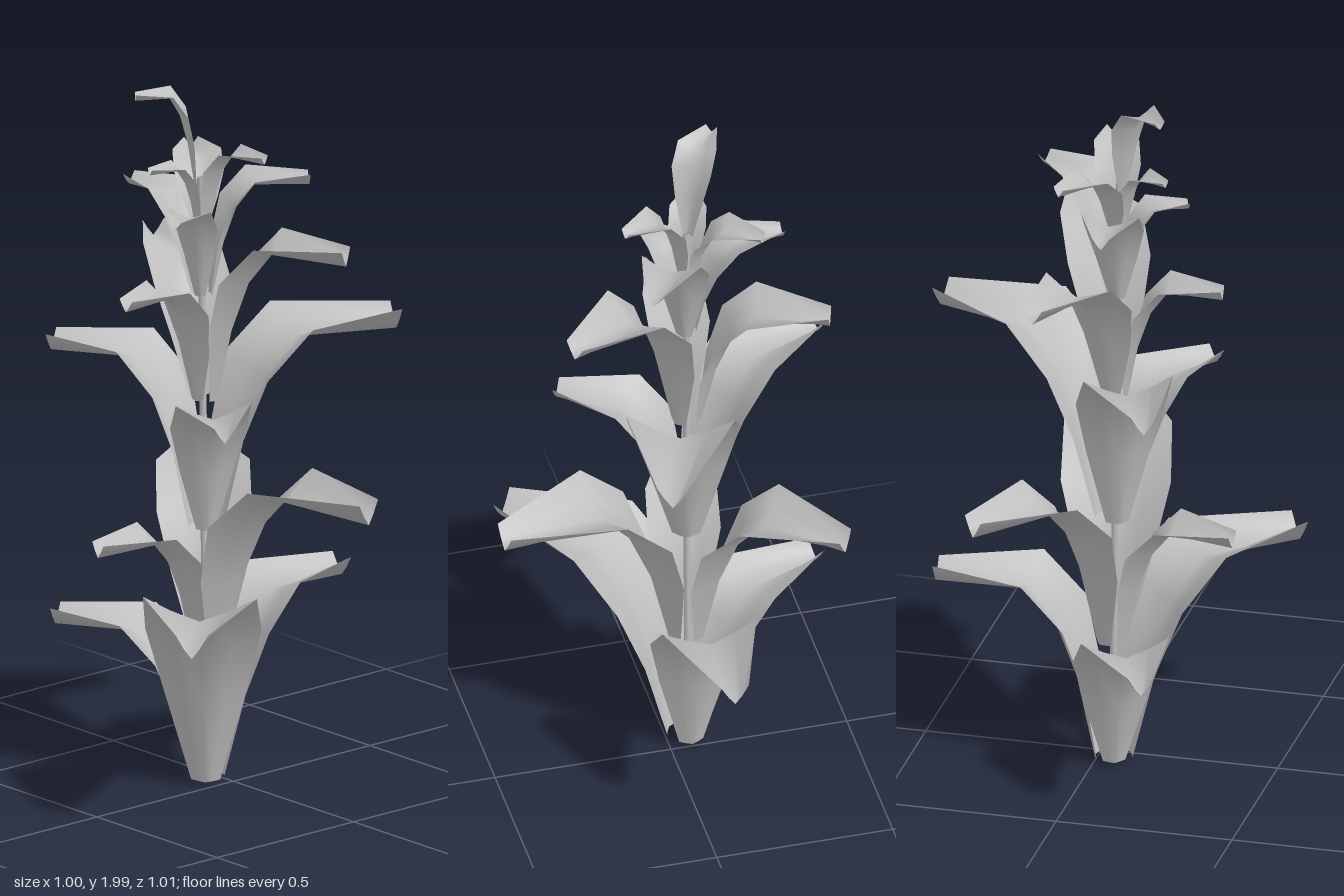
import * as THREE from 'three';

const leafGrey = new THREE.MeshStandardMaterial({ color: 0xbfbfbf, side: THREE.DoubleSide });
leafGrey.name = 'leaf grey';

// Stem axis at height y
const stemAt = (y) => new THREE.Vector3(-0.06, y, 0.045 + 0.0125 * y);

// Leaf stations along the midrib: outward reach, height, half width, fold depth
const stations = [
  [0.1, 0.0, 0.06, 0.03],
  [0.2, 0.42, 0.17, 0.09],
  [0.32, 0.71, 0.24, 0.12],
  [0.48, 0.89, 0.235, 0.11],
  [1.0, 0.87, 0.067, 0.115],
];
const across = [-1, -0.5, 0, 0.5, 1];

// One gutter-shaped leaf: rises along the stem, then bends outward
function makeLeaf(tipX, tipZ, baseY, topY) {
  const origin = stemAt(baseY);
  const out = new THREE.Vector3(tipX - origin.x, 0, tipZ - origin.z);
  const reach = out.length();
  out.normalize();
  const side = new THREE.Vector3(out.z, 0, -out.x);
  const height = topY - baseY;
  const breadth = 1.02 * reach + 0.06; // short leaves are relatively broader
  const rib = stations.map(([r, h]) => new THREE.Vector2(r * reach, h * height));
  const positions = [], index = [];
  stations.forEach(([, , w, d], i) => {
    const a = rib[Math.max(i - 1, 0)], b = rib[Math.min(i + 1, rib.length - 1)];
    const tangent = (i === rib.length - 1 ? new THREE.Vector2(1, 0) : b.clone().sub(a)).normalize();
    for (const u of across) {
      // margins lift toward the stem side of the midrib
      const lift = d * reach * Math.pow(Math.abs(u), 1.2);
      const p = origin.clone()
        .addScaledVector(out, rib[i].x - tangent.y * lift)
        .addScaledVector(side, u * w * breadth);
      p.y += rib[i].y + tangent.x * lift;
      positions.push(p.x, p.y, p.z);
    }
  });
  const n = across.length;
  for (let i = 0; i < stations.length - 1; i++) {
    for (let j = 0; j < n - 1; j++) {
      const a = i * n + j;
      index.push(a, a + 1, a + n, a + 1, a + n + 1, a + n);
    }
  }
  const geometry = new THREE.BufferGeometry();
  geometry.setAttribute('position', new THREE.Float32BufferAttribute(positions, 3));
  geometry.setIndex(index);
  geometry.computeVertexNormals();
  return new THREE.Mesh(geometry, leafGrey);
}

// Whorls of leaves: base height, then tip x, tip z, top height of each leaf
const whorls = [
  { baseY: 0.01, leaves: [[0.36, 0.47, 0.61], [-0.475, 0.235, 0.45], [-0.065, -0.455, 0.56]] },
  { baseY: 0.36, leaves: [[-0.11, 0.4, 0.75], [-0.43, -0.255, 0.86], [0.49, -0.065, 0.91]] },
  { baseY: 0.73, leaves: [[0.26, 0.26, 1.14], [-0.482, 0.245, 1.25], [0.122, -0.49, 1.31]] },
  { baseY: 1.1, leaves: [[-0.045, 0.355, 1.46], [-0.43, -0.085, 1.51], [0.31, -0.14, 1.59]] },
  { baseY: 1.4, leaves: [[0.03, 0.24, 1.68], [-0.34, 0.085, 1.7], [0.1, -0.19, 1.75]] },
  { baseY: 1.58, leaves: [[-0.11, 0.21, 1.79], [-0.245, -0.06, 1.79], [0.13, 0.0, 1.84]] },
  { baseY: 1.72, leaves: [[-0.17, 0.21, 2.0]] },
];

export function createModel() {
  const plant = new THREE.Group();
  plant.name = 'plant';

  // Slim stem hidden among the leaves
  const stemCurve = new THREE.LineCurve3(stemAt(0), stemAt(1.74));
  const stem = new THREE.Mesh(new THREE.TubeGeometry(stemCurve, 4, 0.01, 8), leafGrey);
  stem.name = 'stem';
  plant.add(stem);

  whorls.forEach(({ baseY, leaves }, i) => {
    const whorl = new THREE.Group();
    whorl.name = `leafWhorl${i + 1}`;
    leaves.forEach(([x, z, top], j) => {
      const leaf = makeLeaf(x, z, baseY, top);
      leaf.name = `leaf${i + 1}_${j + 1}`;
      whorl.add(leaf);
    });
    plant.add(whorl);
  });
  return plant;
}
